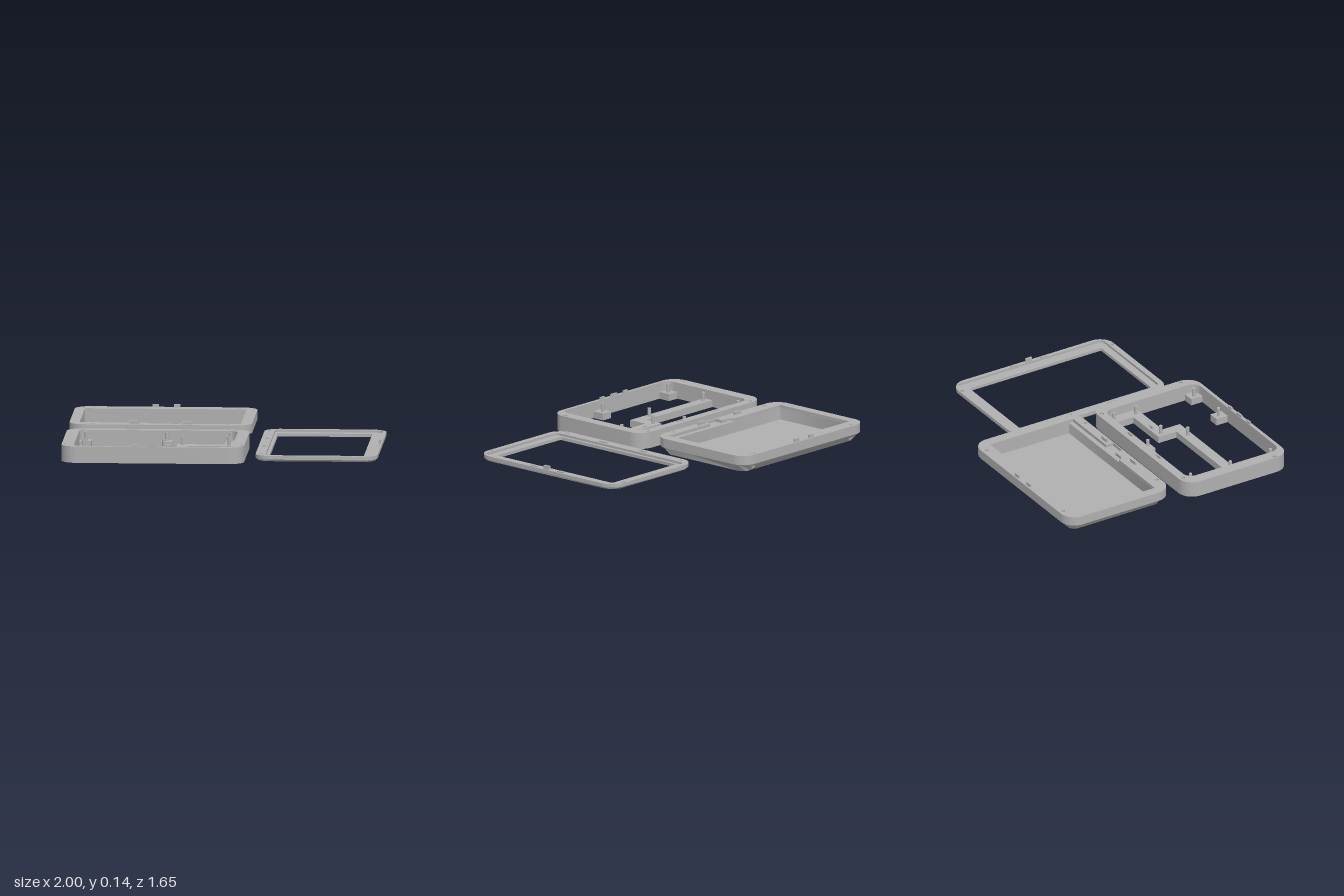
import * as THREE from 'three';
import { toCreasedNormals } from 'three/addons/utils/BufferGeometryUtils.js';

const plastic = new THREE.MeshStandardMaterial({ color: 0xb0b0b0 });
plastic.name = 'grey plastic';
plastic.side = THREE.DoubleSide;

// Plan outlines are drawn with world z flipped, then laid flat
function roundRect(x0, z0, x1, z1, r, T = THREE.Path) {
  const p = new T(), a = -z1, b = -z0, h = Math.PI / 2;
  p.moveTo(x0 + r, a);
  p.lineTo(x1 - r, a);
  p.absarc(x1 - r, a + r, r, -h, 0, false);
  p.lineTo(x1, b - r);
  p.absarc(x1 - r, b - r, r, 0, h, false);
  p.lineTo(x0 + r, b);
  p.absarc(x0 + r, b - r, r, h, 2 * h, false);
  p.lineTo(x0, a + r);
  p.absarc(x0 + r, a + r, r, 2 * h, 3 * h, false);
  return p;
}
const circle = (x, z, r) => new THREE.Path().absarc(x, -z, r, 0, Math.PI * 2, false);
const polygon = (pts, T = THREE.Path) => new T(pts.map(([x, z]) => new THREE.Vector2(x, -z)));
const slot = (x, z, w, d) => polygon([
  [x - w / 2, z - d / 2], [x + w / 2, z - d / 2], [x + w / 2, z + d / 2], [x - w / 2, z + d / 2]]);

function add(group, name, geo) {
  const m = new THREE.Mesh(geo, plastic);
  m.name = name;
  group.add(m);
  return m;
}
// Flat slab from y0 to y1 with cut-outs
function slab(group, name, shape, holes, y0, y1) {
  shape.holes = holes;
  const g = new THREE.ExtrudeGeometry(shape, { depth: y1 - y0, bevelEnabled: false, curveSegments: 8 });
  g.rotateX(-Math.PI / 2).translate(0, y0, 0);
  return add(group, name, toCreasedNormals(g, 0.6));
}
function box(group, name, x, y0, y1, z, w, d) {
  const g = new THREE.BoxGeometry(w, y1 - y0, d);
  g.translate(x, (y0 + y1) / 2, z);
  return add(group, name, g);
}
// Sloped lower edge of a rounded plate: height falls with distance from the outline
function chamfer(group, name, [x0, z0, x1, z1], r, c, holes) {
  const s = roundRect(x0, z0, x1, z1, r, THREE.Shape);
  s.holes = [roundRect(x0 + c, z0 + c, x1 - c, z1 - c, r - c), ...holes];
  const g = new THREE.ShapeGeometry(s, 8).rotateX(Math.PI / 2);
  const p = g.attributes.position;
  const cx = (x0 + x1) / 2, cz = (z0 + z1) / 2;
  for (let i = 0; i < p.count; i++) {
    const z = -p.getZ(i);
    const qx = Math.abs(p.getX(i) - cx) - (x1 - x0) / 2 + r;
    const qz = Math.abs(z - cz) - (z1 - z0) / 2 + r;
    const d = r - Math.hypot(Math.max(qx, 0), Math.max(qz, 0)) - Math.min(Math.max(qx, qz), 0);
    p.setXYZ(i, p.getX(i), Math.min(c, Math.max(0, c - d)), z);
  }
  // the mirrored z reverses the corner order, so turn each face back
  const idx = g.index.array;
  for (let i = 0; i < idx.length; i += 3) [idx[i], idx[i + 1]] = [idx[i + 1], idx[i]];
  const flat = g.toNonIndexed();
  const q = flat.attributes.position;
  const A = new THREE.Vector3(), B = new THREE.Vector3(), C = new THREE.Vector3();
  for (let i = 0; i < q.count; i += 3) {
    A.fromBufferAttribute(q, i); B.fromBufferAttribute(q, i + 1); C.fromBufferAttribute(q, i + 2);
    const n = B.clone().sub(A).cross(C.clone().sub(A));
    if (n.y > 0) { q.setXYZ(i, B.x, B.y, B.z); q.setXYZ(i + 1, A.x, A.y, A.z); }
  }
  flat.computeVertexNormals();
  add(group, name, toCreasedNormals(flat, 0.6));
}

// Deep back shell with chamfered underside
function makeTray() {
  const g = new THREE.Group();
  g.name = 'backShell';
  const R = [-1, -0.83, 0.16, -0.06], c = 0.055;
  const outline = () => roundRect(...R, 0.1, THREE.Shape);
  const inner = () => roundRect(R[0] + c, R[1] + c, R[2] - c, R[3] - c, 0.045, THREE.Shape);
  const pocket = () => roundRect(-0.935, -0.74, 0.09, -0.15, 0.004);
  const spots = [[-0.88, -0.8], [0.04, -0.8], [-0.85, -0.085], [0.005, -0.085]];
  const holes = () => spots.map(([x, z]) => circle(x, z, 0.013));
  slab(g, 'shellFloor', inner(), [], 0, 0.02);
  slab(g, 'shellLowerWall', inner(), [pocket()], 0.02, c);
  chamfer(g, 'shellChamfer', R, 0.1, c, holes());
  slab(g, 'shellUpperWall', outline(), [pocket(), ...holes()], c, 0.095);
  // rim with the shallow shelf and cable notch
  const rimCut = polygon([[-0.935, -0.74], [0.09, -0.74], [0.09, -0.12], [-0.305, -0.12], [-0.305, -0.068],
    [-0.415, -0.068], [-0.415, -0.12], [-0.48, -0.12], [-0.5, -0.13], [-0.51, -0.15], [-0.935, -0.15]]);
  slab(g, 'shellRim', outline(), [rimCut, ...holes()], 0.095, 0.115);
  for (const x of [-0.59, -0.25]) box(g, 'frontTab', x, 0.11, 0.135, -0.095, 0.06, 0.013);
  for (const x of [-0.49, -0.355]) box(g, 'rearTab', x, 0.11, 0.135, -0.812, 0.04, 0.013);
  return g;
}

// Open middle frame carrying the mounting arms and pins
function makeFrame() {
  const g = new THREE.Group();
  g.name = 'middleFrame';
  const outline = () => roundRect(-1, 0.05, 0.16, 0.82, 0.1, THREE.Shape);
  const cuts = () => [roundRect(-0.92, 0.108, 0.086, 0.797, 0.06),
    ...[[-0.905, 0.08], [0.067, 0.08], [-0.98, 0.715], [0.142, 0.715]].map(([x, z]) => circle(x, z, 0.014))];
  slab(g, 'frameWall', outline(), cuts(), 0, 0.08);
  slab(g, 'frameRim', outline(),
    [...cuts(), slot(-0.59, 0.089, 0.06, 0.014), slot(-0.25, 0.089, 0.06, 0.014)], 0.08, 0.105);
  const top = 0.045;
  // stepped cross arm
  slab(g, 'crossArm', polygon([[-0.93, 0.415], [-0.29, 0.415], [-0.29, 0.282], [0.01, 0.282], [0.01, 0.1],
    [0.095, 0.1], [0.095, 0.355], [-0.22, 0.355], [-0.22, 0.485], [-0.93, 0.485]], THREE.Shape),
  [slot(-0.155, 0.308, 0.045, 0.014)], 0, top);
  for (const [x, z] of [[-0.88, 0.147], [-0.365, 0.147], [-0.88, 0.757], [-0.255, 0.757], [0.048, 0.757]])
    box(g, 'standoff', x, 0, top, z, 0.075, 0.085);
  for (const [x, z] of [[-0.875, 0.155], [-0.365, 0.155], [0.042, 0.155], [-0.255, 0.32], [0.042, 0.32],
    [-0.875, 0.453], [-0.365, 0.453], [-0.875, 0.752], [-0.255, 0.752], [0.042, 0.752]]) {
    const pin = add(g, 'mountPin', new THREE.CylinderGeometry(0.011, 0.011, 0.06, 16));
    pin.position.set(x, 0.07, z);
  }
  for (const [x, w] of [[-0.53, 0.04], [-0.42, 0.055], [-0.31, 0.04]])
    box(g, 'frameTab', x, 0.1, 0.12, 0.806, w, 0.012);
  return g;
}

// Thin front bezel with a stepped recess
function makeBezel() {
  const g = new THREE.Group();
  g.name = 'frontBezel';
  const R = [0.225, -0.47, 1, 0.69], c = 0.012;
  const outline = () => roundRect(...R, 0.1, THREE.Shape);
  const opening = () => roundRect(0.31, -0.38, 0.91, 0.602, 0.015);
  slab(g, 'bezelFace', roundRect(R[0] + c, R[1] + c, R[2] - c, R[3] - c, 0.088, THREE.Shape), [opening()], 0, c);
  chamfer(g, 'bezelChamfer', R, 0.1, c, []);
  slab(g, 'bezelShelf', outline(), [opening()], c, 0.02);
  const spots = [[0.255, -0.373], [0.255, 0.595], [0.89, -0.453], [0.89, 0.672]];
  slab(g, 'bezelRim', outline(), [roundRect(0.29, -0.435, 0.975, 0.652, 0.03),
    ...spots.map(([x, z]) => circle(x, z, 0.013)),
    slot(0.262, -0.057, 0.02, 0.07), slot(0.262, 0.28, 0.02, 0.07)], 0.02, 0.035);
  box(g, 'bezelTab', 0.985, 0.03, 0.06, 0.108, 0.014, 0.045);
  for (const z of [-0.005, 0.22]) box(g, 'bezelTab', 0.982, 0.03, 0.042, z, 0.014, 0.05);
  return g;
}

export function createModel() {
  const model = new THREE.Group();
  model.name = 'enclosureKit';
  model.add(makeTray(), makeFrame(), makeBezel());
  return model;
}
